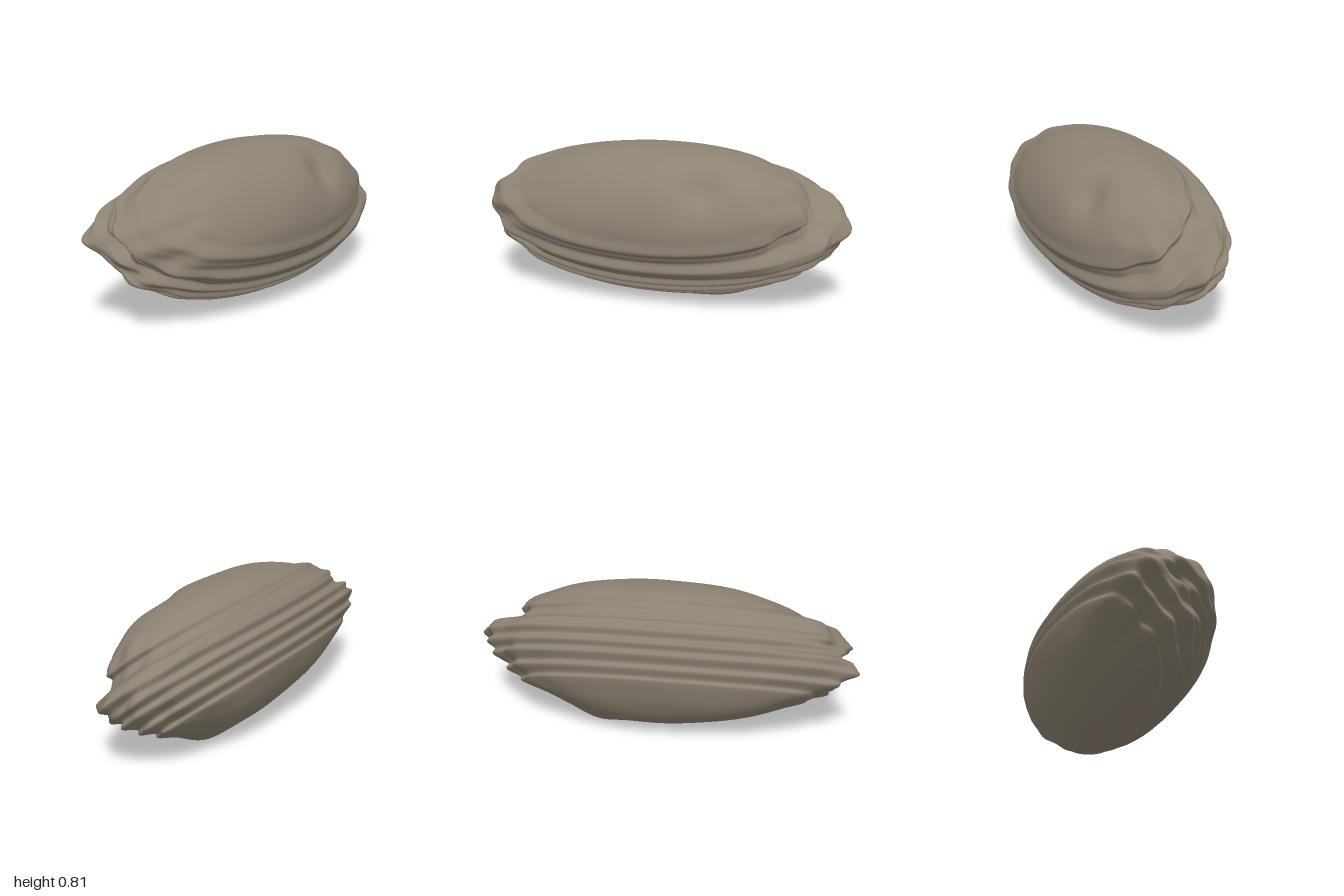
import * as THREE from 'three';
import { mergeVertices } from 'three/addons/utils/BufferGeometryUtils.js';

const { lerp, smoothstep } = THREE.MathUtils;

// Strata: [height along the bedding axis, width, reach of the +x end, reach of the -x end]
const STRATA = [
  [-1, 1, 0.9, 0.88], [-0.75, 1, 0.9, 0.9], [-0.58, 1.03, 0.95, 0.95], [-0.52, 0.98, 0.91, 0.93],
  [-0.43, 1.03, 0.96, 1], [-0.36, 0.97, 0.92, 0.97], [-0.25, 1.04, 0.98, 1.02], [-0.18, 0.98, 0.95, 1],
  [-0.1, 1.03, 0.99, 0.99], [-0.02, 0.97, 0.98, 0.93], [0.08, 1.03, 1.02, 0.97], [0.18, 1.04, 1, 1.03],
  [0.27, 0.97, 0.87, 1.03], [0.35, 0.99, 0.86, 1.03], [0.45, 1.03, 0.92, 1.04], [0.55, 1, 0.94, 0.95],
  [0.68, 1.01, 0.95, 0.93], [0.85, 1, 0.95, 0.92], [1, 1, 0.95, 0.92],
];

// Smoothly read one column of the strata at height s
function layer(s, column) {
  for (let i = 1; i < STRATA.length; i++) {
    const a = STRATA[i - 1], b = STRATA[i];
    if (s <= b[0]) return lerp(a[column], b[column], smoothstep(s, a[0], b[0]));
  }
  return 1;
}

const bump = (p, x, y, z, r) => Math.exp(-((p.x - x) ** 2 + (p.y - y) ** 2 + (p.z - z) ** 2) / (r * r));

export function createModel() {
  const stone = new THREE.MeshStandardMaterial({ color: 0x8c8272 });
  stone.name = 'brown grey stone';

  // Ball whose pole is the bedding axis, so its rings follow the strata
  let geo = new THREE.SphereGeometry(1, 256, 200);
  geo.deleteAttribute('uv');
  geo.deleteAttribute('normal');
  geo = mergeVertices(geo, 1e-5);
  const pos = geo.attributes.position;
  const p = new THREE.Vector3();
  const xAxis = new THREE.Vector3(1, 0, 0);
  const tilt = 0.68;
  const bedding = new THREE.Vector3(0, Math.cos(tilt), Math.sin(tilt));

  for (let i = 0; i < pos.count; i++) {
    p.fromBufferAttribute(pos, i);
    const { x, y: s, z } = p;
    const az = Math.atan2(z, x);
    const end = smoothstep(Math.abs(x), 0.4, 0.95);

    // Layers wander a little along their edges
    const h = s + (1 - s * s) * (0.02 * Math.sin(2.3 * x + 1) + 0.015 * Math.sin(3 * x - 2 * z));

    // Scalloped outlines of the layers around the ends
    const scallop = 0.012 * end * (Math.sin(9 * az + 6 * Math.sin(4 * s)) + Math.sin(15 * az + 9 * s) - 1);
    let reach = layer(h, x > 0 ? 2 : 3) + scallop;

    // The lower back corner of the left end is blunt
    if (x < 0) reach += 0.2 * smoothstep(-z, 0, 0.6) * (1 - smoothstep(s, -0.2, 0.35));
    const width = layer(h, 1) + scallop;

    // Gentle hollows and swellings on the two smooth faces
    const lump = 0.02 * Math.sin(4 * x + 1.5) * Math.sin(3 * z + 0.6) + 0.008 * Math.sin(9 * x + 4 * z);
    const thick = s + lump * Math.sign(s) * smoothstep(Math.abs(s), 0.5, 0.9);

    // Ellipsoid with the bedding axis tipped forward
    p.set(x * reach, thick * 0.385, z * width * 0.415).applyAxisAngle(xAxis, tilt);

    // Dent with a raised shoulder in the upper front face
    p.addScaledVector(bedding, 0.02 * bump(p, 0.5, 0.2, 0.22, 0.14) - 0.045 * bump(p, 0.28, 0.22, 0.27, 0.1));

    // Keel under the right half
    p.y -= 0.058 * bump(p, 0.36, -0.36, -0.08, 0.16);

    pos.setXYZ(i, p.x, p.y + 0.41, p.z);
  }
  geo.computeVertexNormals();

  const rock = new THREE.Mesh(geo, stone);
  rock.name = 'layeredRock';
  const group = new THREE.Group();
  group.name = 'rock';
  group.add(rock);
  return group;
}
